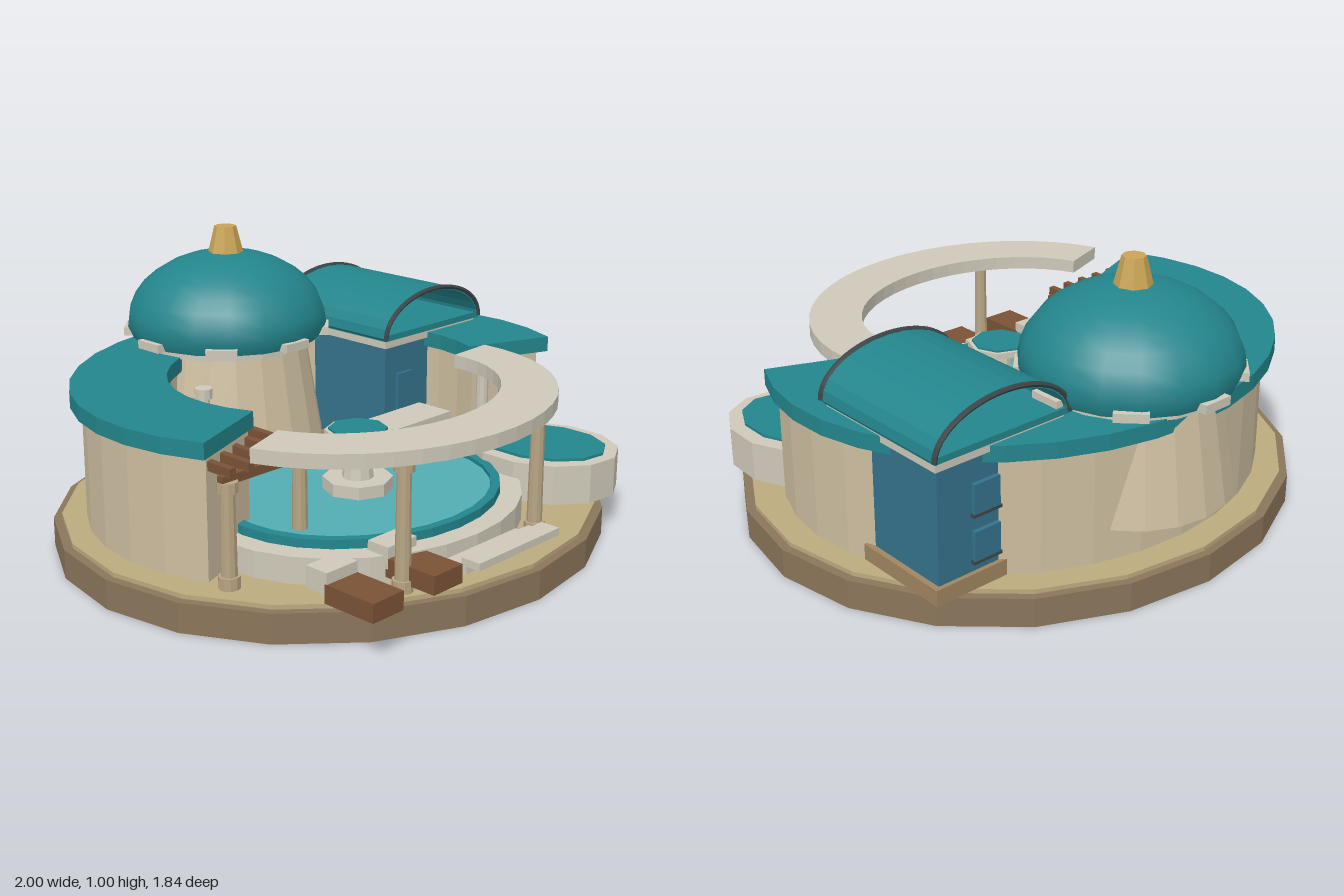
import * as THREE from 'three';

const mat = (color, double = false) => new THREE.MeshStandardMaterial({
  color, flatShading: true, side: double ? THREE.DoubleSide : THREE.FrontSide });
const M = {
  earth: mat(0x8a755a), sand: mat(0xbcaa7e), wall: mat(0xcdbea0), cream: mat(0xcdc8b8),
  teal: mat(0x23858c), tealThin: mat(0x23858c, true), water: mat(0x52adb2), blue: mat(0x35728c),
  wood: mat(0x7a5236), gold: mat(0xc9a455), post: mat(0xb8a583), dark: mat(0x3c4648),
  stone: mat(0xa08560),
};
M.dome = new THREE.MeshStandardMaterial({ color: 0x23858c, side: THREE.DoubleSide });

export function createModel() {
  const model = new THREE.Group();
  const add = (name, geo, material, x = 0, y = 0, z = 0) => {
    const m = new THREE.Mesh(geo, material);
    m.name = name;
    m.position.set(x, y, z);
    model.add(m);
    return m;
  };
  // Box given by its limits
  const box = (name, material, x0, x1, y0, y1, z0, z1) =>
    add(name, new THREE.BoxGeometry(x1 - x0, y1 - y0, z1 - z0), material,
      (x0 + x1) / 2, (y0 + y1) / 2, (z0 + z1) / 2);
  // Elliptical drum between two heights
  const drum = (name, material, x, z, rx, rz, y0, y1, sides, topScale = 1) => {
    const g = new THREE.CylinderGeometry(topScale, 1, y1 - y0, sides);
    g.scale(rx, 1, rz);
    return add(name, g, material, x, (y0 + y1) / 2, z);
  };
  // Elliptical ring sector; angles in degrees, 0 = +x, 90 = back
  const ring = (name, material, cx, cz, outer, inner, a0, a1, y0, y1, n) => {
    const pts = [];
    const at = (r, i) => {
      const a = THREE.MathUtils.degToRad(a0 + (a1 - a0) * i / n);
      pts.push(new THREE.Vector2(cx + r[0] * Math.cos(a), -cz + r[1] * Math.sin(a)));
    };
    for (let i = 0; i <= n; i++) at(outer, i);
    for (let i = n; i >= 0; i--) at(inner, i);
    const g = new THREE.ExtrudeGeometry(new THREE.Shape(pts), { depth: y1 - y0, bevelEnabled: false });
    g.rotateX(-Math.PI / 2);
    return add(name, g, material, 0, y0, 0);
  };
  // Column with foot and capital
  const column = (name, material, x, z, y0, y1, r) => {
    drum(name, material, x, z, r, r, y0, y1, 10, 0.85);
    drum(name + 'Foot', material, x, z, r * 1.3, r * 1.3, y0, y0 + 0.04, 10);
    drum(name + 'Capital', material, x, z, r * 1.25, r * 1.25, y1 - 0.035, y1, 10);
  };

  // Ground
  drum('groundBase', M.earth, 0, 0, 1, 0.917, 0, 0.1, 20);
  drum('groundTop', M.sand, 0, 0, 0.97, 0.89, 0.1, 0.115, 20);

  // Curved building and its roof
  ring('curvedWall', M.wall, 0, -0.03, [0.88, 0.76], [0.6, 0.52], -23, 203, 0.11, 0.53, 20);
  ring('curvedRoof', M.teal, 0, -0.03, [0.92, 0.8], [0.58, 0.5], -24, 204, 0.525, 0.58, 22);

  // Domed tower
  const tz = -0.54;
  drum('tower', M.wall, 0, tz, 0.35, 0.35, 0.22, 0.58, 20, 0.83);
  drum('towerCornice', M.cream, 0, tz, 0.31, 0.31, 0.575, 0.607, 20);
  const profile = [new THREE.Vector2(0.345, 0.605)];
  for (let i = 0; i <= 8; i++) {
    const a = i / 8 * Math.PI / 2;
    profile.push(new THREE.Vector2(0.365 * Math.cos(a), 0.65 + 0.26 * Math.sin(a)));
  }
  add('dome', new THREE.LatheGeometry(profile, 18), M.dome, 0, 0, tz);
  for (let i = 0; i < 8; i++) {
    const a = i * Math.PI / 4;
    const b = add('domeBracket', new THREE.BoxGeometry(0.11, 0.03, 0.06), M.cream,
      0.343 * Math.sin(a), 0.619, tz + 0.343 * Math.cos(a));
    b.rotation.y = a;
  }
  drum('finial', M.gold, 0, tz, 0.066, 0.066, 0.895, 1, 8, 0.6);

  // Blue pavilion
  box('pavilionPlinth', M.stone, 0.34, 0.85, 0.115, 0.17, -0.6, -0.24);
  box('pavilion', M.blue, 0.36, 0.83, 0.12, 0.565, -0.585, -0.08);
  box('pavilionCornice', M.cream, 0.345, 0.845, 0.56, 0.588, -0.6, -0.065);
  box('pavilionCeiling', M.teal, 0.34, 0.85, 0.588, 0.61, -0.605, -0.06);
  for (const y of [0.26, 0.42]) {
    box('backWindow', M.blue, 0.6, 0.7, y - 0.05, y + 0.05, -0.6, -0.58);
    box('backWindowSill', M.dark, 0.595, 0.705, y - 0.06, y - 0.05, -0.602, -0.58);
  }
  box('frontWindow', M.blue, 0.42, 0.5, 0.31, 0.45, -0.085, -0.068);

  // Barrel vault with end rims
  const arc = [];
  for (let i = 0; i <= 14; i++) {
    const a = i / 14 * Math.PI;
    arc.push(new THREE.Vector3(0.595 - 0.262 * Math.cos(a), 0.6 + 0.148 * Math.sin(a), 0));
  }
  const vaultShape = new THREE.Shape([
    ...arc.map(p => new THREE.Vector2(p.x, p.y)),
    ...arc.slice().reverse().map(p => new THREE.Vector2(0.595 + (p.x - 0.595) * 0.97, p.y - 0.01)),
  ]);
  add('barrelVault', new THREE.ExtrudeGeometry(vaultShape, { depth: 0.56, bevelEnabled: false }),
    M.tealThin, 0, 0, -0.612);
  const rim = new THREE.TubeGeometry(new THREE.CatmullRomCurve3(arc), 28, 0.009, 6);
  for (const z of [-0.612, -0.052]) add('vaultRim', rim, M.dark, 0, 0, z);

  // Main pool
  const px = -0.105, pz = 0.225;
  drum('poolWall', M.cream, px, pz, 0.6, 0.52, 0.11, 0.205, 28);
  ring('poolCurb', M.teal, px, pz, [0.525, 0.447], [0.49, 0.417], 0, 360, 0.2, 0.235, 28);
  drum('poolWater', M.water, px, pz, 0.5, 0.425, 0.2, 0.222, 28);

  // Fountain
  drum('fountainFoot', M.cream, px, pz, 0.12, 0.12, 0.22, 0.265, 8);
  drum('fountainStem', M.cream, px, pz, 0.055, 0.055, 0.26, 0.415, 10, 0.65);
  drum('fountainBowl', M.cream, px, pz, 0.114, 0.114, 0.408, 0.43, 8);
  drum('fountainWater', M.teal, px, pz, 0.1, 0.1, 0.42, 0.437, 8);

  // Small side basin
  const basin = new THREE.Group();
  basin.name = 'sideBasin';
  const parts = [
    drum('basinWall', M.cream, 0, 0, 0.235, 0.275, 0.122, 0.262, 12),
    drum('basinWater', M.teal, 0, 0, 0.18, 0.23, 0.25, 0.272, 12),
  ];
  basin.add(...parts);
  basin.position.set(0.605, 0, 0.465);
  basin.rotation.y = 0.2;
  model.add(basin);

  // Open ring canopy on columns
  ring('ringCanopy', M.cream, -0.11, 0.23, [0.7, 0.63], [0.52, 0.435], -162, 3, 0.533, 0.58, 22);
  for (const [x, z] of [[0.21, 0.73], [-0.44, 0.73], [0.525, 0.345]])
    column('canopyColumn', M.post, x, z, 0.115, 0.535, 0.026);
  for (const [x, z, y0, y1] of [[-0.6, 0.1, 0.115, 0.44], [-0.37, -0.25, 0.115, 0.53], [0.58, 0.2, 0.115, 0.53]])
    column('wallColumn', M.cream, x, z, y0, y1, 0.025);

  // Pergola
  for (const x of [-0.79, -0.49]) for (const z of [-0.06, 0.34])
    column('pergolaPost', M.post, x, z, 0.115, 0.46, 0.027);
  for (const z of [-0.06, 0.34]) box('pergolaBeam', M.wood, -0.82, -0.46, 0.45, 0.48, z - 0.012, z + 0.012);
  for (let i = 0; i < 5; i++) {
    const x = -0.79 + i * 0.075;
    box('pergolaRafter', M.wood, x - 0.012, x + 0.012, 0.475, 0.505, -0.085, 0.365);
  }

  // Bridge slab over the pool edge
  box('bridgeSlab', M.cream, 0.125, 0.53, 0.28, 0.317, -0.06, 0.095);

  // Entrance steps
  for (let i = 0; i < 4; i++)
    box('entranceStep', M.cream, -0.31, 0.085, 0.12 + i * 0.025, 0.145 + i * 0.025,
      0.7 + i * 0.05, 0.77 + i * 0.05);

  // Loungers
  for (const x of [-0.64, -0.375]) {
    box('loungerSeat', M.wood, x - 0.065, x + 0.065, 0.138, 0.2, 0.66, 0.855);
    box('loungerBack', M.cream, x - 0.065, x + 0.065, 0.165, 0.237, 0.585, 0.67);
  }
  return model;
}
